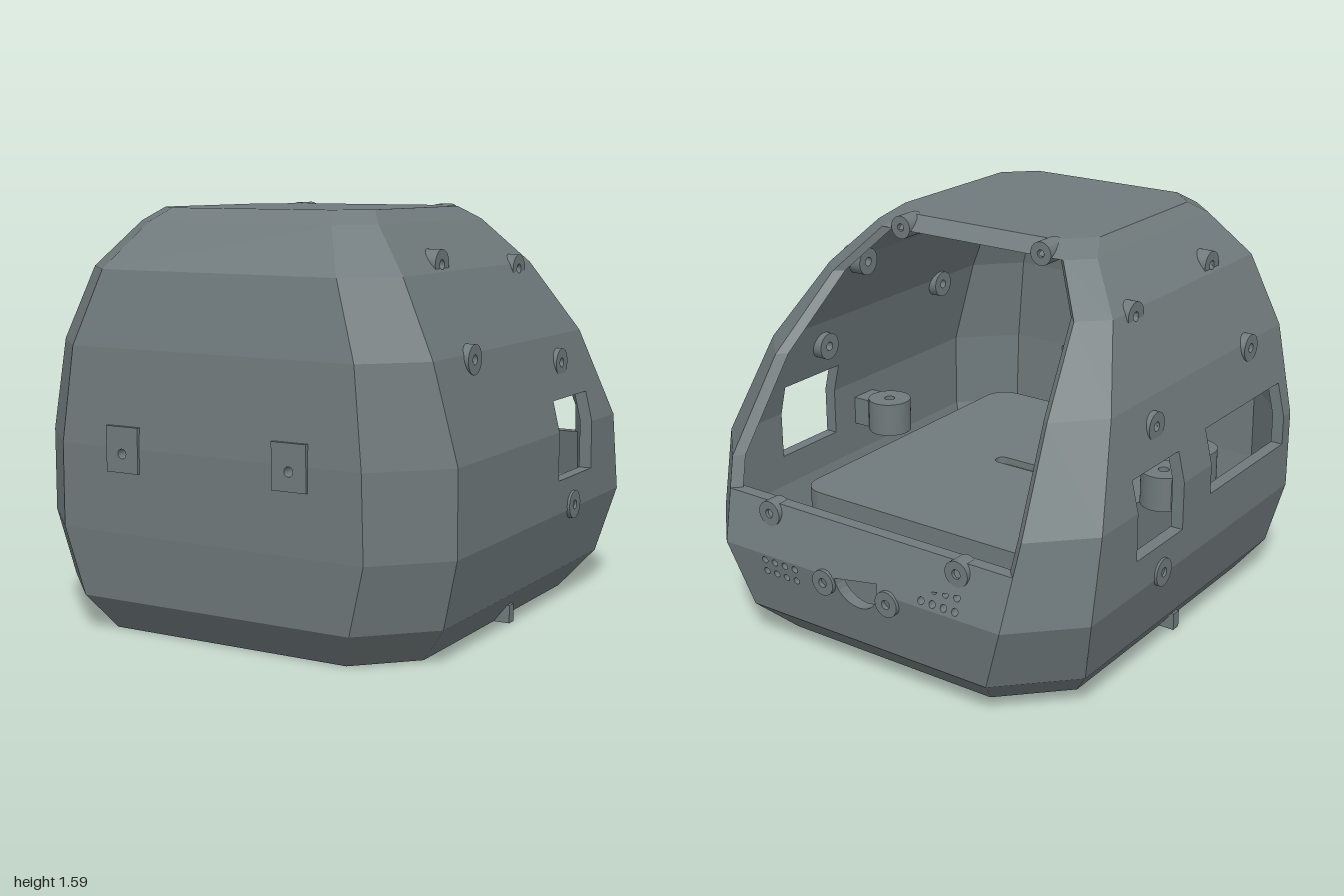
import * as THREE from 'three';

const T = 0.05; // wall thickness
// Hull rings: y, half width, front z, back z, front chamfer (x+z), back chamfer (x-z)
const RINGS = [
  [0, 0.70, 0.855, -0.80, 1.355, 1.27],
  [0.14, 0.81, 0.96, -0.945, 1.53, 1.50],
  [0.40, 0.875, 0.985, -0.99, 1.625, 1.635],
  [0.72, 0.875, 0.99, -0.90, 1.625, 1.575],
  [1.08, 0.79, 0.97, -0.68, 1.565, 1.31],
  [1.36, 0.66, 0.915, -0.41, 1.41, 0.97],
  [1.53, 0.51, 0.77, -0.27, 1.16, 0.69],
  [1.58, 0.455, 0.69, -0.20, 1.03, 0.535],
].map(([y, X, F, B, cf, cb]) => ({ y, X, F, B, cf, cb }));

// Openings: z from, z to, y from, y to
const SMALL_WINDOW = [-0.46, -0.13, 0.53, 0.84];
const LARGE_WINDOW = [0.08, 0.69, 0.60, 0.86];
// Screw bosses on the sides: z, y, outer x
const BOSSES = [[0.435, 1.385, 0.65], [-0.175, 1.34, 0.675], [0.49, 1.06, 0.81], [-0.26, 0.975, 0.825]];

const ringAt = (a, b, y) => {
  const t = (y - a.y) / (b.y - a.y), r = {};
  for (const k in a) r[k] = a[k] + (b[k] - a[k]) * t;
  return r;
};

const circle = (x, y, r) => new THREE.Path().absarc(x, y, r, 0, Math.PI * 2, true);

// Slab drawn flat in (u, y) and mapped to its place; w runs from outside (0) to inside (1)
function panelGeometry(points, holes, map) {
  const shape = new THREE.Shape(points.map(p => new THREE.Vector2(p[0], p[1])));
  holes.forEach(h => shape.holes.push(circle(...h)));
  let g = new THREE.ExtrudeGeometry(shape, { depth: 1, bevelEnabled: false, curveSegments: 8 });
  if (g.index) g = g.toNonIndexed();
  const p = g.attributes.position;
  const v = [];
  for (let i = 0; i < p.count; i++) v.push(new THREE.Vector3(...map(p.getX(i), p.getY(i), p.getZ(i))));
  let volume = 0;
  const c = new THREE.Vector3();
  for (let i = 0; i < v.length; i += 3) volume += v[i].dot(c.crossVectors(v[i + 1], v[i + 2]));
  for (let i = 0; i < v.length; i += 3) {
    if (volume < 0) [v[i + 1], v[i + 2]] = [v[i + 2], v[i + 1]];
  }
  const out = new THREE.BufferGeometry().setFromPoints(v);
  out.computeVertexNormals();
  return out;
}

function roundedRect(x, z0, z1, r, C = THREE.Shape) {
  const s = new C();
  s.moveTo(-x + r, z0);
  s.lineTo(x - r, z0); s.absarc(x - r, z0 + r, r, -Math.PI / 2, 0);
  s.lineTo(x, z1 - r); s.absarc(x - r, z1 - r, r, 0, Math.PI / 2);
  s.lineTo(-x + r, z1); s.absarc(-x + r, z1 - r, r, Math.PI / 2, Math.PI);
  s.lineTo(-x, z0 + r); s.absarc(-x + r, z0 + r, r, Math.PI, Math.PI * 1.5);
  return s;
}

export function createModel() {
  const model = new THREE.Group();
  model.name = 'housing';
  const grey = new THREE.MeshStandardMaterial({ color: 0x707a7c });
  grey.name = 'slate grey';

  const add = (parent, name, geometry, x = 0, y = 0, z = 0) => {
    const m = new THREE.Mesh(geometry, grey);
    m.name = name;
    m.position.set(x, y, z);
    parent.add(m);
    return m;
  };
  // Horizontal plate from a shape in (x, z), lying between y and y + h
  const plate = (parent, name, shape, y, h) => {
    const g = new THREE.ExtrudeGeometry(shape, { depth: h, bevelEnabled: false, curveSegments: 8 });
    return add(parent, name, g.rotateX(Math.PI / 2), 0, y + h, 0);
  };
  // Round boss with a hole, along z from its centre
  const boss = (parent, name, r, hole, length, x, y, z) => {
    const s = new THREE.Shape().absarc(0, 0, r, 0, Math.PI * 2);
    s.holes.push(circle(0, 0, hole));
    const g = new THREE.ExtrudeGeometry(s, { depth: length, bevelEnabled: false, curveSegments: 20 });
    return add(parent, name, g.translate(0, 0, -length / 2), x, y, z);
  };

  const base = new THREE.Group(), body = new THREE.Group();
  base.name = 'base';
  body.name = 'body';
  model.add(base, body);

  // Faceted shell, one band of panels between each pair of rings
  for (let i = 0; i < RINGS.length - 1; i++) {
    const a = RINGS[i], b = RINGS[i + 1], parent = i === 0 ? base : body;
    const at = y => ringAt(a, b, y);
    const inBand = y => y > a.y && y < b.y;

    for (const s of [1, -1]) {
      // Side wall with window cut-outs that cross the ring lines
      const windows = s > 0 ? [SMALL_WINDOW] : [SMALL_WINDOW, LARGE_WINDOW];
      const pts = [[a.X - a.cb, a.y]];
      for (const [z0, z1, y0, y1] of windows) {
        if (y0 < a.y && y1 > a.y) pts.push([z0, a.y], [z0, y1], [z1, y1], [z1, a.y]);
      }
      pts.push([a.cf - a.X, a.y], [b.cf - b.X, b.y]);
      for (const [z0, z1, y0, y1] of [...windows].reverse()) {
        if (y0 < b.y && y1 > b.y) pts.push([z1, b.y], [z1, y0], [z0, y0], [z0, b.y]);
      }
      pts.push([b.X - b.cb, b.y]);
      const holes = BOSSES.filter(h => inBand(h[1])).map(h => [h[0], h[1], 0.018]);
      add(parent, 'sideWall', panelGeometry(pts, holes, (u, y, w) => [s * (at(y).X - T * w), y, u]));

      // Corner chamfers
      const k = T * 0.7;
      add(parent, 'frontChamfer', panelGeometry(
        [[a.cf - a.X, a.y], [a.F, a.y], [b.F, b.y], [b.cf - b.X, b.y]], [],
        (u, y, w) => [s * (at(y).cf - u - k * w), y, u - k * w]));
      add(parent, 'backChamfer', panelGeometry(
        [[a.cb - a.X, a.y], [-a.B, a.y], [-b.B, b.y], [b.cb - b.X, b.y]], [],
        (u, y, w) => [s * (at(y).cb - u - k * w), y, -u + k * w]));
    }

    // Front wall
    const fa = a.cf - a.F, fb = b.cf - b.F;
    const frontHoles = inBand(0.70) ? [[-0.355, 0.70, 0.018], [0.355, 0.70, 0.018]] : [];
    add(parent, 'frontWall', panelGeometry([[-fa, a.y], [fa, a.y], [fb, b.y], [-fb, b.y]], frontHoles,
      (u, y, w) => [u, y, at(y).F - T * w]));

    // Back wall: low wall below the opening, lip above it
    if (i > 2 && i < 6) continue;
    const top = i === 2 ? at(0.6) : b;
    const ba = a.cb + a.B, bb = top.cb + top.B;
    const arc = (from, to) => Array.from({ length: 13 }, (_, n) => {
      const t = from + (to - from) * n / 12;
      return [0.1 * Math.cos(t), 0.4 + 0.1 * Math.sin(t)];
    });
    const pts = [[-ba, a.y], ...(i === 2 ? arc(Math.PI, 0) : []), [ba, a.y],
      [bb, top.y], ...(i === 1 ? arc(0, -Math.PI) : []), [-bb, top.y]];
    const vents = [];
    for (const y of [0.325, 0.375, 0.425, 0.475]) {
      if (!inBand(y)) continue;
      for (let n = 0; n < 4; n++) for (const s of [1, -1]) vents.push([s * (0.30 + n * 0.05), y, 0.014]);
    }
    add(parent, 'backWall', panelGeometry(pts, vents, (u, y, w) => [u, y, at(y).B + T * w]));
  }

  // Roof and bottom frame
  const octagon = r => {
    const f = r.cf - r.F, b = r.cb + r.B, zf = r.cf - r.X, zb = r.X - r.cb;
    return new THREE.Shape([[r.X, zb], [r.X, zf], [f, r.F], [-f, r.F], [-r.X, zf], [-r.X, zb], [-b, r.B], [b, r.B]]
      .map(p => new THREE.Vector2(...p)));
  };
  plate(body, 'roof', octagon(RINGS[7]), 1.54, 0.04);
  const frame = octagon(RINGS[0]);
  frame.holes.push(roundedRect(0.60, -0.77, 0.77, 0.15, THREE.Path));
  plate(base, 'bottomFrame', frame, 0, 0.025);

  // Raised inner floor: upturned tray with a cable slot
  const rim = roundedRect(0.59, -0.62, 0.75, 0.1);
  rim.holes.push(roundedRect(0.56, -0.59, 0.72, 0.08, THREE.Path));
  plate(base, 'trayWall', rim, 0.03, 0.45);
  const floor = roundedRect(0.59, -0.62, 0.75, 0.1);
  const slot = roundedRect(0.12, 0.04, 0.10, 0.029, THREE.Path);
  floor.holes.push(slot);
  plate(base, 'trayFloor', floor, 0.48, 0.03);

  // Ribs and side tabs under the base
  add(base, 'backRib', new THREE.BoxGeometry(0.04, 0.02, 0.17), 0, 0.012, -0.695);
  add(base, 'frontRib', new THREE.BoxGeometry(0.04, 0.02, 0.12), 0, 0.012, 0.78);

  for (const s of [1, -1]) {
    add(base, 'sideTab', new THREE.BoxGeometry(0.19, 0.07, 0.04), s * 0.67, 0.035, 0.05);

    // Side screw bosses
    for (const [z, y, x] of BOSSES) {
      boss(body, 'sideBoss', 0.055, 0.018, 0.1, s * (x - 0.05), y, z).rotation.y = Math.PI / 2;
    }
    boss(body, 'lowerBoss', 0.055, 0.018, 0.05, s * 0.86, 0.415, -0.275).rotation.y = Math.PI / 2;

    // Square pads on the front
    add(body, 'frontPad', panelGeometry(
      [[-0.07, -0.085], [0.07, -0.085], [0.07, 0.085], [-0.07, 0.085]], [[0, -0.015, 0.018]],
      (u, v, w) => [u, v, -0.03 * w]), s * 0.355, 0.715, 1.0);

    // Hinge knobs above and below the opening, bosses beside the port
    boss(body, 'upperKnob', 0.045, 0.015, 0.1, s * 0.325, 1.54, -0.225);
    boss(body, 'lowerKnob', 0.05, 0.018, 0.07, s * 0.44, 0.56, -0.925);
    boss(body, 'portBoss', 0.05, 0.018, 0.05, s * 0.15, 0.37, -0.975);

    // Inner brackets on the side walls
    const bracket = new THREE.Group();
    bracket.name = 'innerBracket';
    bracket.position.set(s * 0.68, 0.59, 0.06);
    body.add(bracket);
    boss(bracket, 'bracketBarrel', 0.09, 0.022, 0.14, 0, 0, 0).rotation.x = Math.PI / 2;
    add(bracket, 'bracketArm', new THREE.BoxGeometry(0.1, 0.12, 0.12), s * 0.12, 0, 0);
  }
  return model;
}
